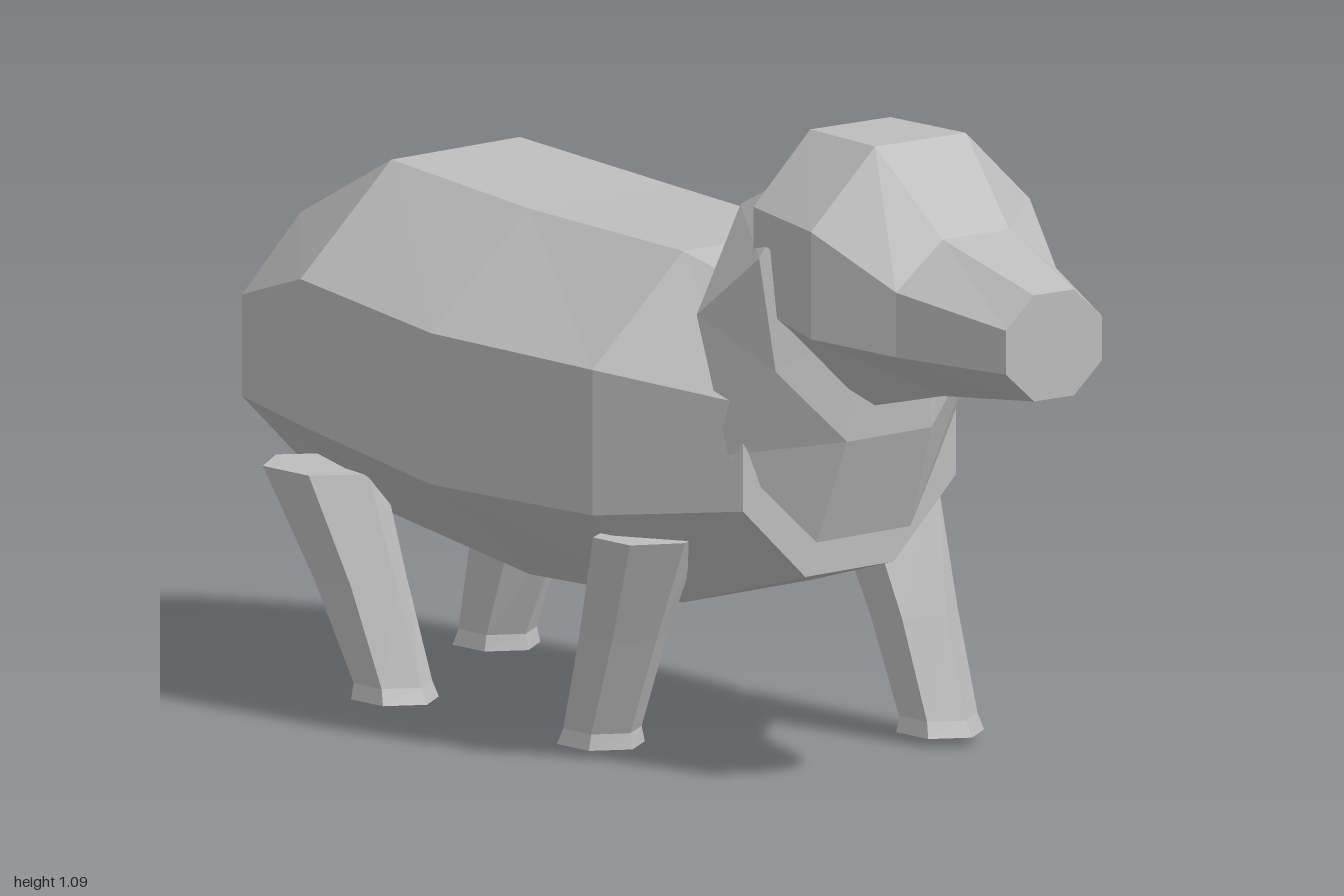
import * as THREE from 'three';

// Regular polygon ring, stretched along two half-axes u and v; flat sides face u
function ring(center, u, v, sides) {
  const points = [];
  const s = 1 / Math.cos(Math.PI / sides);
  for (let k = 0; k < sides; k++) {
    const a = ((k + 0.5) * 2 * Math.PI) / sides;
    const c = Math.cos(a) * s, d = Math.sin(a) * s;
    points.push(center.map((p, i) => p + u[i] * c + v[i] * d));
  }
  return points;
}

// Closed faceted skin through rings that advance along u x v
function loft(rings) {
  const n = rings[0].length, pos = [];
  const tri = (a, b, c) => pos.push(...a, ...b, ...c);
  for (let i = 0; i < rings.length - 1; i++) {
    for (let k = 0; k < n; k++) {
      const m = (k + 1) % n, a = rings[i], b = rings[i + 1];
      tri(a[k], a[m], b[m]);
      tri(a[k], b[m], b[k]);
    }
  }
  const first = rings[0], last = rings[rings.length - 1];
  for (let k = 1; k < n - 1; k++) {
    tri(first[0], first[k + 1], first[k]);
    tri(last[0], last[k], last[k + 1]);
  }
  const geometry = new THREE.BufferGeometry();
  geometry.setAttribute('position', new THREE.Float32BufferAttribute(pos, 3));
  geometry.computeVertexNormals();
  return geometry;
}

export function createModel() {
  const group = new THREE.Group();
  const grey = new THREE.MeshStandardMaterial({ color: 0xbcbcbc, flatShading: true });
  grey.name = 'grey';

  const add = (name, rings) => {
    const mesh = new THREE.Mesh(loft(rings), grey);
    mesh.name = name;
    group.add(mesh);
  };

  // Barrel body, rump to chest: z, bottom, top, half width
  add('body', [
    [-0.825, 0.345, 0.764, 0.225],
    [-0.54, 0.3, 0.903, 0.35],
    [-0.18, 0.25, 0.874, 0.38],
    [0.19, 0.255, 0.855, 0.35],
    [0.445, 0.33, 0.775, 0.24],
  ].map(([z, lo, hi, w]) =>
    ring([0, (lo + hi) / 2, z], [w, 0, 0], [0, (hi - lo) / 2, 0], 8)));

  // Neck ruff, leaning: bottom y and z, top y and z, half width
  add('neck', [
    [0.395, 0.48, 0.945, 0.29, 0.255],
    [0.575, 0.545, 1.028, 0.445, 0.23],
    [0.78, 0.555, 1.03, 0.5, 0.17],
  ].map(([y0, z0, y1, z1, w]) =>
    ring([0, (y0 + y1) / 2, (z0 + z1) / 2], [w, 0, 0],
      [0, (y1 - y0) / 2, (z1 - z0) / 2], 8)));

  // Head and muzzle, turned slightly to one side: x, z, bottom, top, half width
  add('head', [
    [0, 0.447, 0.69, 1.092, 0.205],
    [-0.007, 0.63, 0.65, 1.092, 0.232],
    [-0.012, 0.775, 0.685, 0.952, 0.17],
    [-0.032, 0.992, 0.707, 0.888, 0.102],
  ].map(([x, z, lo, hi, w]) =>
    ring([x, (lo + hi) / 2, z], [w, 0, w * 0.07], [0, (hi - lo) / 2, 0], 8)));

  // Legs in mid-stride: name, side, hip z, foot z, hip radius along z, sole height
  [
    ['frontLeftLeg', 1, 0.25, 0.4, 0.093, 0.015],
    ['frontRightLeg', -1, 0.225, 0.095, 0.093, 0.015],
    ['backLeftLeg', 1, -0.6, -0.71, 0.125, 0],
    ['backRightLeg', -1, -0.59, -0.42, 0.115, 0.015],
  ].forEach(([name, side, hip, foot, r, sole]) => {
    const section = (x, y, t, w, rz) =>
      ring([side * x, y, hip + (foot - hip) * t], [w, 0, 0], [0, 0, rz * 0.866], 6);
    add(name, [
      section(0.256, 0.39, 0, 0.082, r),
      section(0.25, 0.21, 0.52, 0.063, (r + 0.07) / 2),
      section(0.245, sole + 0.027, 0.97, 0.057, 0.07),
      section(0.245, sole, 1, 0.063, 0.08),
    ]);
  });

  // Short drooping tail, tip to base: z, bottom, top, half width
  add('tail', [
    [-1, 0.595, 0.635, 0.018],
    [-0.92, 0.612, 0.69, 0.038],
    [-0.8, 0.615, 0.72, 0.05],
  ].map(([z, lo, hi, w]) =>
    ring([-0.01, (lo + hi) / 2, z], [w, 0, 0], [0, (hi - lo) / 2 * 0.866, 0], 6)));

  return group;
}
